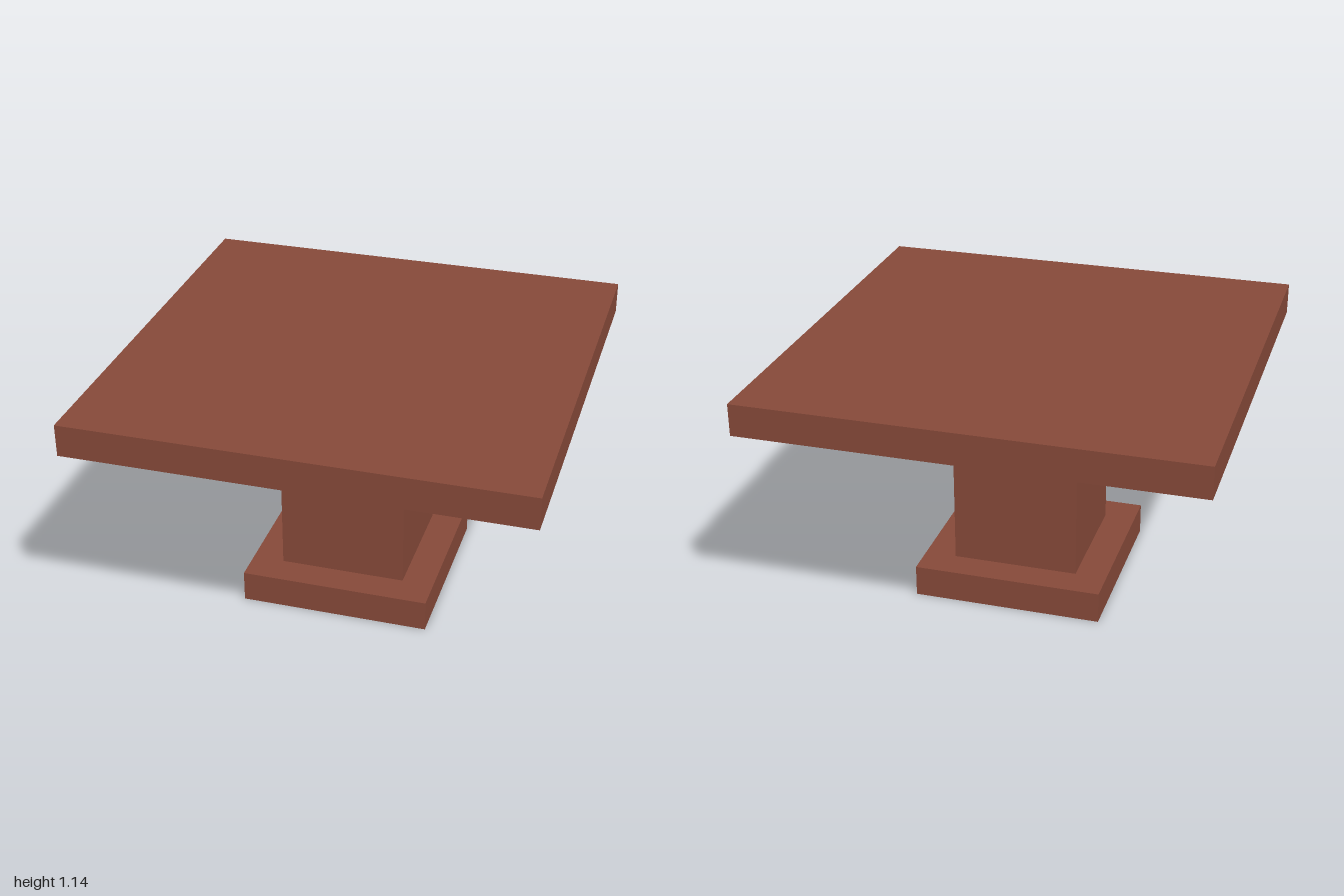
import * as THREE from 'three';

export function createModel() {
  const model = new THREE.Group();
  model.name = 'pedestalTable';

  const wood = new THREE.MeshStandardMaterial({ color: 0x874a3a });
  wood.name = 'reddish brown wood';

  // Square slab of the given width, spanning bottom to top
  const addSlab = (name, width, bottom, top) => {
    const mesh = new THREE.Mesh(new THREE.BoxGeometry(width, top - bottom, width), wood);
    mesh.name = name;
    mesh.position.y = (bottom + top) / 2;
    model.add(mesh);
  };

  addSlab('base', 0.857, 0, 0.143);
  addSlab('column', 0.571, 0.143, 1);
  addSlab('tableTop', 2, 1, 1.143);

  return model;
}
